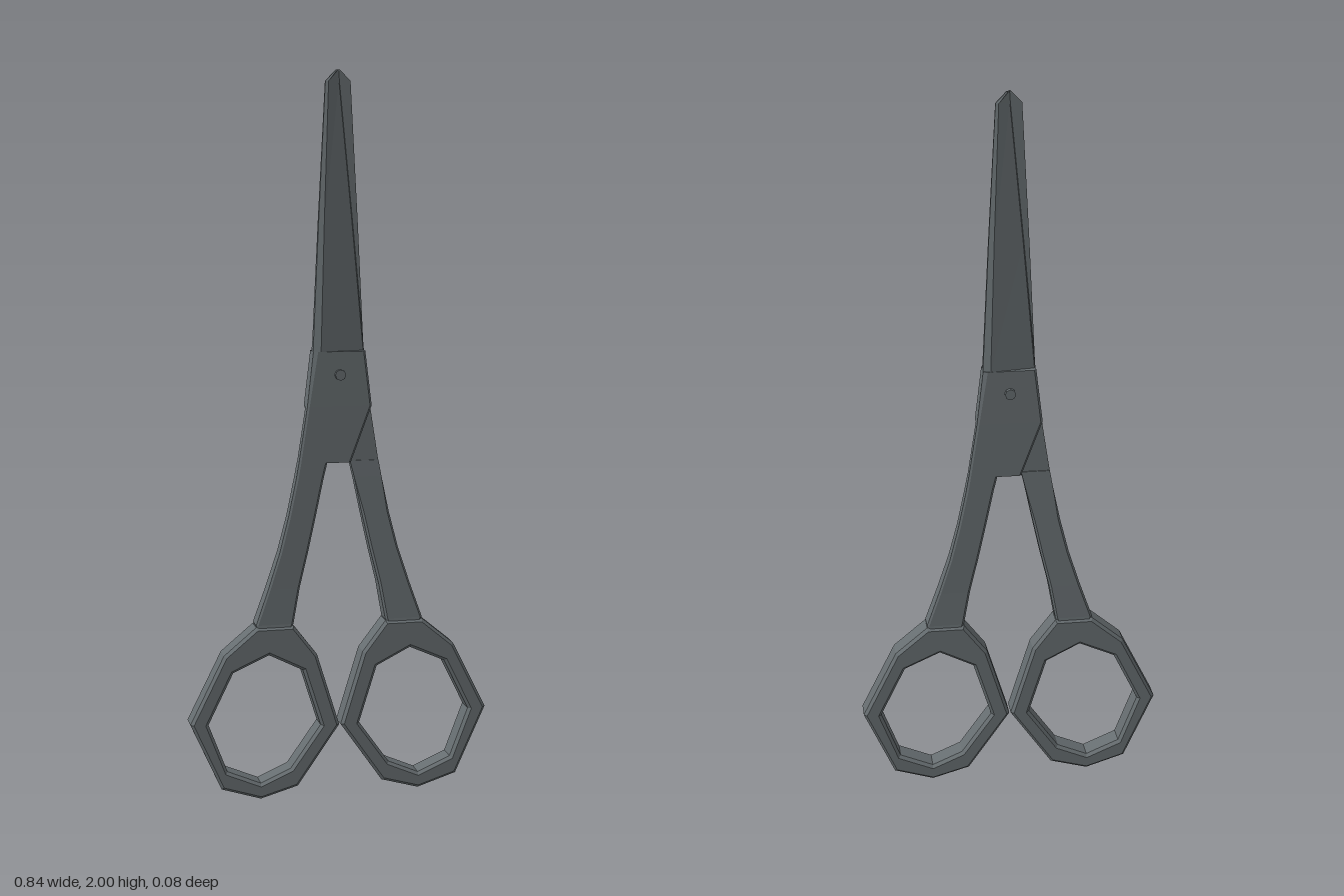
import * as THREE from 'three';

const steel = new THREE.MeshStandardMaterial({ color: 0x666d70, flatShading: true });
steel.name = 'grey steel';

// Chamfered cross-section at height y: outer x, inner x, front z at each side, back z, chamfer
function section([y, xo, xi, zo, zi, zb, c]) {
  const d = Math.min(c, 0.006);
  const ci = Math.min(d, zi * 0.4), cb = zb < -0.008 ? d : 0;
  return [
    [xo + cb, y, zb], [xo, y, zb + cb], [xo, y, zo - c * 0.5], [xo + c, y, zo],
    [xi - ci, y, zi], [xi, y, zi - ci], [xi, y, zb + cb], [xi - cb, y, zb],
  ];
}

// Skin between successive cross-sections, closed at both ends
function loft(rows) {
  const loops = rows.map(section), n = loops[0].length, index = [];
  for (let r = 0; r < loops.length - 1; r++) {
    for (let i = 0; i < n; i++) {
      const a = r * n + i, b = r * n + (i + 1) % n;
      index.push(a, b, b + n, a, b + n, a + n);
    }
  }
  const top = (loops.length - 1) * n;
  for (let i = 1; i < n - 1; i++) index.push(0, i + 1, i, top, top + i, top + i + 1);
  const g = new THREE.BufferGeometry();
  g.setAttribute('position', new THREE.Float32BufferAttribute(loops.flat(2), 3));
  g.setIndex(index);
  g.computeVertexNormals();
  return g;
}

const points = (list) => list.map(([x, y]) => new THREE.Vector2(x, y));

function addMesh(parent, geometry, name) {
  const mesh = new THREE.Mesh(geometry, steel);
  mesh.name = name;
  parent.add(mesh);
  return mesh;
}

function createHalf(name) {
  const half = new THREE.Group();
  half.name = name;

  // Finger ring with its short neck
  const ring = new THREE.Shape(points([
    [-0.235, 0.495], [-0.325, 0.42], [-0.42, 0.23], [-0.335, 0.04], [-0.225, 0.005],
    [-0.12, 0.035], [-0.002, 0.205], [-0.065, 0.41], [-0.13, 0.495],
  ]));
  ring.holes.push(new THREE.Path(points([
    [-0.2, 0.415], [-0.105, 0.367], [-0.055, 0.207], [-0.14, 0.087],
    [-0.225, 0.05], [-0.318, 0.09], [-0.37, 0.227], [-0.3, 0.37],
  ])));
  const ringGeometry = new THREE.ExtrudeGeometry(ring, {
    depth: 0.054, bevelThickness: 0.009, bevelSize: 0.008, bevelOffset: -0.008, bevelSegments: 1,
  });
  ringGeometry.translate(0, 0, -0.027);
  addMesh(half, ringGeometry, 'fingerRing');

  // Curved shank, thinning at the back until it meets the pivot plate
  addMesh(half, loft([
    [0.475, -0.225, -0.14, 0.032, 0.032, -0.032, 0.006],
    [0.5, -0.235, -0.13, 0.029, 0.029, -0.029, 0.006],
    [0.6, -0.2, -0.112, 0.028, 0.028, -0.024, 0.006],
    [0.7, -0.168, -0.088, 0.028, 0.028, -0.018, 0.006],
    [0.8, -0.143, -0.066, 0.028, 0.028, -0.012, 0.006],
    [0.9, -0.122, -0.045, 0.028, 0.028, -0.006, 0.006],
    [0.945, -0.114, -0.034, 0.028, 0.028, -0.003, 0.006],
    // Pivot plate
    [0.945, -0.114, 0.032, 0.028, 0.028, 0, 0.006],
    [1.1, -0.09, 0.09, 0.028, 0.028, 0, 0.006],
    [1.25, -0.072, 0.072, 0.027, 0.027, 0, 0.012],
    // Hollow-ground blade, stepped down towards its cutting edge
    [1.25, -0.072, 0.072, 0.027, 0.008, 0, 0.02],
    [1.6, -0.055, 0.04, 0.019, 0.006, 0, 0.014],
    [1.97, -0.035, 0.004, 0.01, 0.004, 0, 0.008],
    [2, -0.006, 0.002, 0.009, 0.004, 0, 0.003],
  ]), 'shankAndBlade');
  return half;
}

export function createModel() {
  const scissors = new THREE.Group();
  scissors.name = 'scissors';

  // Two identical halves, one turned half way round
  const front = createHalf('frontHalf');
  const back = createHalf('backHalf');
  back.rotation.y = Math.PI;
  scissors.add(front, back);

  // Pivot pin
  const pin = addMesh(scissors, new THREE.CylinderGeometry(0.015, 0.015, 0.078, 8), 'pivotPin');
  pin.rotation.x = Math.PI / 2;
  pin.position.y = 1.187;
  return scissors;
}
